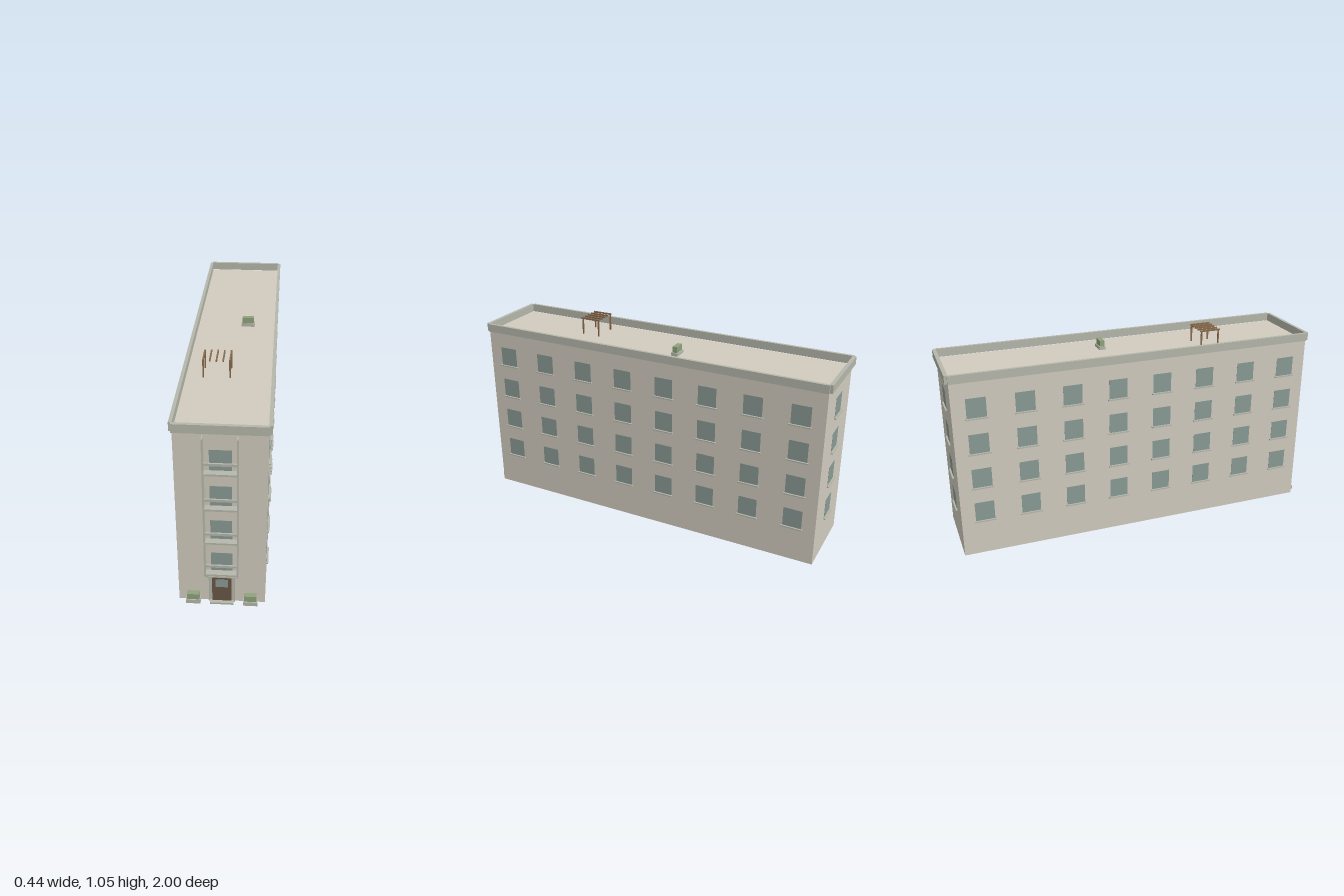
import * as THREE from 'three';

const mat = (color) => new THREE.MeshStandardMaterial({ color });

export function createModel() {
  const wall = mat(0xd2ccbf), trim = mat(0xb6b8ac), glass = mat(0x8a9b96);
  const wood = mat(0x6b5646), timber = mat(0x8a6a4c), leaf = mat(0x8fa37c);
  const model = new THREE.Group();
  model.name = 'apartmentBlock';

  // Box given by its minimum and maximum corners
  const box = (parent, name, material, [x0, y0, z0], [x1, y1, z1]) => {
    const mesh = new THREE.Mesh(new THREE.BoxGeometry(x1 - x0, y1 - y0, z1 - z0), material);
    mesh.position.set((x0 + x1) / 2, (y0 + y1) / 2, (z0 + z1) / 2);
    mesh.name = name;
    parent.add(mesh);
    return mesh;
  };
  const group = (name, parent = model) => {
    const g = new THREE.Group();
    g.name = name;
    parent.add(g);
    return g;
  };

  const W = 0.207, FRONT = 0.965, BACK = -0.983, ROOF = 0.955;
  const floors = [0, 1, 2, 3].map((i) => 0.191 * (i + 1));

  // Main block
  box(model, 'walls', wall, [-W, 0, BACK], [W, ROOF, FRONT]);

  // Parapet strips, leaving notched corners
  const parapet = group('parapet');
  for (const s of [-1, 1]) {
    const xs = [s * (W - 0.002), s * 0.221].sort((a, b) => a - b);
    box(parapet, 'sideParapet', trim, [xs[0], 0.957, -0.986], [xs[1], 1, 0.962]);
  }
  box(parapet, 'frontParapet', trim, [-0.21, 0.957, 0.96], [0.21, 1, 0.977]);
  box(parapet, 'backParapet', trim, [-0.21, 0.957, -1], [0.21, 1, -0.981]);

  // Window with sill, facing local +z
  const addWindow = (x, y, z, angle) => {
    const w = group('window');
    box(w, 'pane', glass, [-0.05, 0, -0.004], [0.05, 0.106, 0.001]);
    box(w, 'sill', trim, [-0.057, -0.005, -0.004], [0.057, 0.002, 0.01]);
    w.position.set(x, y, z);
    w.rotation.y = angle;
  };
  for (const y of floors) {
    for (let i = 0; i < 8; i++) {
      const z = 0.845 - 0.2437 * i;
      addWindow(W, y, z, Math.PI / 2);
      addWindow(-W, y, z, -Math.PI / 2);
    }
    addWindow(0, y, BACK, Math.PI);
  }

  // Balcony stack: one U-shaped frame with chamfered lower corners
  const balconies = group('balconyStack');
  const frame = new THREE.Shape();
  [[-0.08, 0.945], [-0.08, 0.181], [-0.075, 0.175], [0.075, 0.175], [0.08, 0.181], [0.08, 0.945],
    [0.073, 0.945], [0.073, 0.182], [-0.073, 0.182], [-0.073, 0.945]]
    .forEach(([x, y], i) => (i ? frame.lineTo(x, y) : frame.moveTo(x, y)));
  const frameMesh = new THREE.Mesh(
    new THREE.ExtrudeGeometry(frame, { depth: 0.037, bevelEnabled: false }), trim);
  frameMesh.position.z = 0.963;
  frameMesh.name = 'balconyFrame';
  balconies.add(frameMesh);
  for (const y of floors) {
    box(balconies, 'balconyFloor', trim, [-0.075, y - 0.009, FRONT - 0.002], [0.075, y + 0.001, 0.998]);
    box(balconies, 'balconyRail', trim, [-0.073, y + 0.044, 0.99], [0.073, y + 0.057, 0.998]);
    box(balconies, 'balconyWindow', glass, [-0.05, y, FRONT - 0.003], [0.05, y + 0.107, FRONT + 0.001]);
  }

  // Entrance
  const entrance = group('entrance');
  for (const s of [-1, 1]) {
    box(entrance, 'doorJamb', trim, [s * 0.054 - 0.008, 0, 0.963], [s * 0.054 + 0.008, 0.176, 0.973]);
  }
  box(entrance, 'doorLintel', trim, [-0.046, 0.152, 0.963], [0.046, 0.176, 0.973]);
  box(entrance, 'door', wood, [-0.046, 0.01, 0.963], [0.046, 0.152, 0.977]);
  box(entrance, 'doorPane', glass, [-0.029, 0.097, 0.97], [0.029, 0.143, 0.979]);
  box(entrance, 'doorStep', trim, [-0.057, 0, 0.963], [0.057, 0.01, 0.994]);

  // Planters beside the door and on the roof
  const addPlanter = (x, y, z) => {
    const p = group('planter');
    box(p, 'planterBase', trim, [-0.035, 0, -0.018], [0.035, 0.022, 0.018]);
    box(p, 'hedge', leaf, [-0.03, 0.022, -0.013], [0.03, 0.054, 0.013]);
    p.position.set(x, y, z);
  };
  addPlanter(-0.137, 0, 0.978);
  addPlanter(0.137, 0, 0.978);
  addPlanter(0.061, 0.95, -0.136);

  // Roof pergola: outer beams stand on posts
  const pergola = group('pergola');
  for (let i = 0; i < 5; i++) {
    const x = -0.122 + 0.032 * i;
    box(pergola, 'pergolaBeam', timber, [x - 0.0035, 1.042, 0.365], [x + 0.0035, 1.05, 0.477]);
    if (i % 4) continue;
    for (const z of [0.372, 0.47]) {
      box(pergola, 'pergolaPost', timber, [x - 0.0035, ROOF - 0.002, z - 0.0035], [x + 0.0035, 1.042, z + 0.0035]);
    }
  }
  return model;
}
